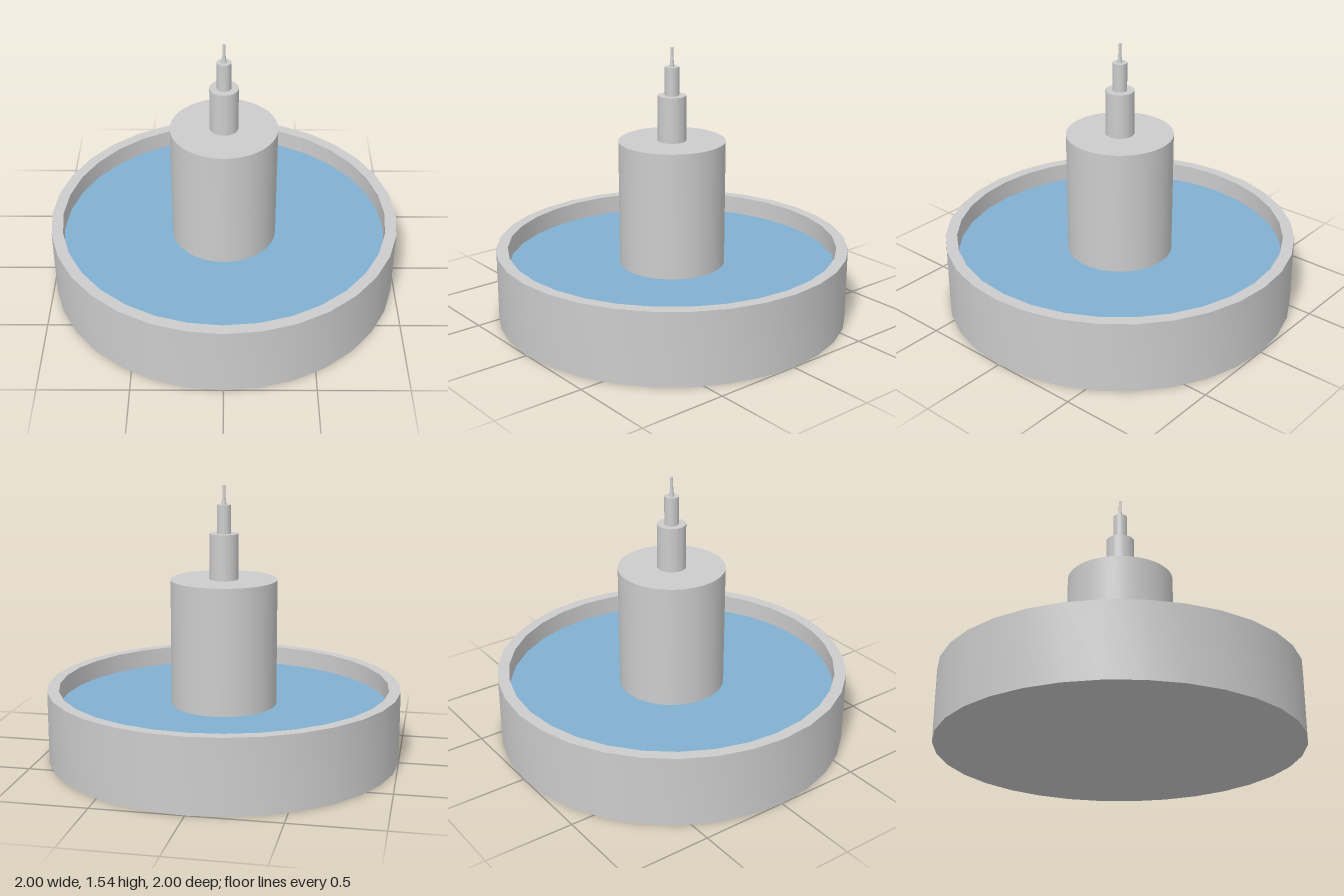
import * as THREE from 'three';
import { toCreasedNormals } from 'three/addons/utils/BufferGeometryUtils.js';

const grey = new THREE.MeshStandardMaterial({ color: 0xcccccc });
const blue = new THREE.MeshStandardMaterial({ color: 0x7fb0d0 });

// Revolve a [radius, height] profile, keeping its corners sharp
function turned(name, profile, segments) {
  const points = profile.map(([r, y]) => new THREE.Vector2(r, y));
  const geometry = toCreasedNormals(new THREE.LatheGeometry(points, segments), Math.PI / 6);
  const mesh = new THREE.Mesh(geometry, grey);
  mesh.name = name;
  return mesh;
}

export function createModel() {
  const group = new THREE.Group();
  group.name = 'fountain';

  // Round basin with a thin rim wall and a closed floor
  group.add(turned('basin', [[0, 0], [1, 0], [1, 0.41], [0.935, 0.41], [0.935, 0.06], [0, 0.06]], 32));

  // Water surface
  const water = new THREE.Mesh(new THREE.CircleGeometry(0.935, 32), blue);
  water.name = 'water';
  water.rotation.x = -Math.PI / 2;
  water.position.y = 0.3;
  group.add(water);

  // Stepped column: [name, radius, bottom, top]
  const tiers = [
    ['pedestal', 0.3, 0.06, 1.015],
    ['middleTier', 0.08, 1.015, 1.272],
    ['upperTier', 0.04, 1.272, 1.432],
  ];
  for (const [name, radius, bottom, top] of tiers) {
    group.add(turned(name, [[0, bottom], [radius, bottom], [radius, top], [0, top]], 64));
  }

  // Slim nozzle with a slightly flared foot
  group.add(turned('nozzle', [[0, 1.432], [0.014, 1.432], [0.009, 1.47], [0.008, 1.54], [0, 1.54]], 32));

  return group;
}
